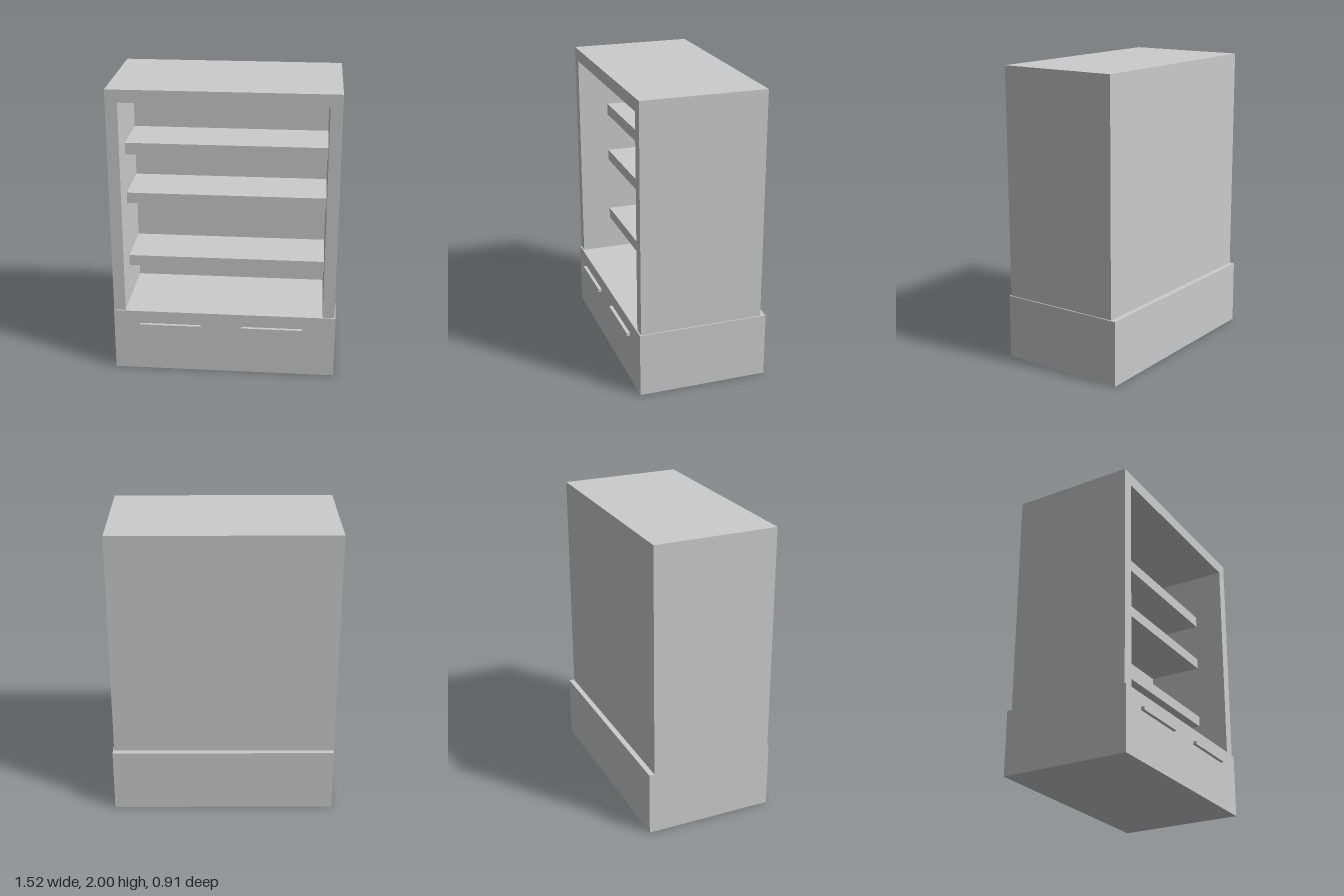
import * as THREE from 'three';

const material = new THREE.MeshStandardMaterial({ color: 0xcccccc, flatShading: true });

// Box given by its min and max along each axis
function box(name, [x0, x1], [y0, y1], [z0, z1]) {
  const mesh = new THREE.Mesh(new THREE.BoxGeometry(x1 - x0, y1 - y0, z1 - z0), material);
  mesh.position.set((x0 + x1) / 2, (y0 + y1) / 2, (z0 + z1) / 2);
  mesh.name = name;
  return mesh;
}

export function createModel() {
  const model = new THREE.Group();
  model.name = 'bookcase';

  const outerX = [-0.76, 0.752], innerX = [-0.68, 0.672];
  const baseTop = 0.44, top = 2, innerTop = 1.915;
  const back = -0.417, innerBack = -0.175, front = 0.42;

  // Drawer base, its top is the floor of the open cabinet
  model.add(box('drawerBase', [-0.76, 0.76], [0, baseTop], [-0.453, 0.43]));

  // Cabinet sides and top as one arch-shaped frame
  const arch = new THREE.Shape([
    [outerX[0], baseTop], [innerX[0], baseTop], [innerX[0], innerTop], [innerX[1], innerTop],
    [innerX[1], baseTop], [outerX[1], baseTop], [outerX[1], top], [outerX[0], top],
  ].map(([x, y]) => new THREE.Vector2(x, y)));
  const frame = new THREE.Mesh(
    new THREE.ExtrudeGeometry(arch, { depth: front - innerBack, bevelEnabled: false }), material);
  frame.position.z = innerBack;
  frame.name = 'cabinetFrame';
  model.add(frame);

  // Thick back of the cabinet
  model.add(box('cabinetBack', outerX, [baseTop, top], [back, innerBack]));

  // Shelves, set back from the front
  [[0.685, 0.76], [1.15, 1.225], [1.5, 1.58]].forEach((y, i) =>
    model.add(box(`shelf${i + 1}`, innerX, y, [innerBack, 0.21])));

  // Drawer handles
  model.add(box('rightHandle', [-0.58, -0.16], [0.328, 0.35], [0.43, 0.453]));
  model.add(box('leftHandle', [0.12, 0.54], [0.328, 0.35], [0.43, 0.453]));

  return model;
}
